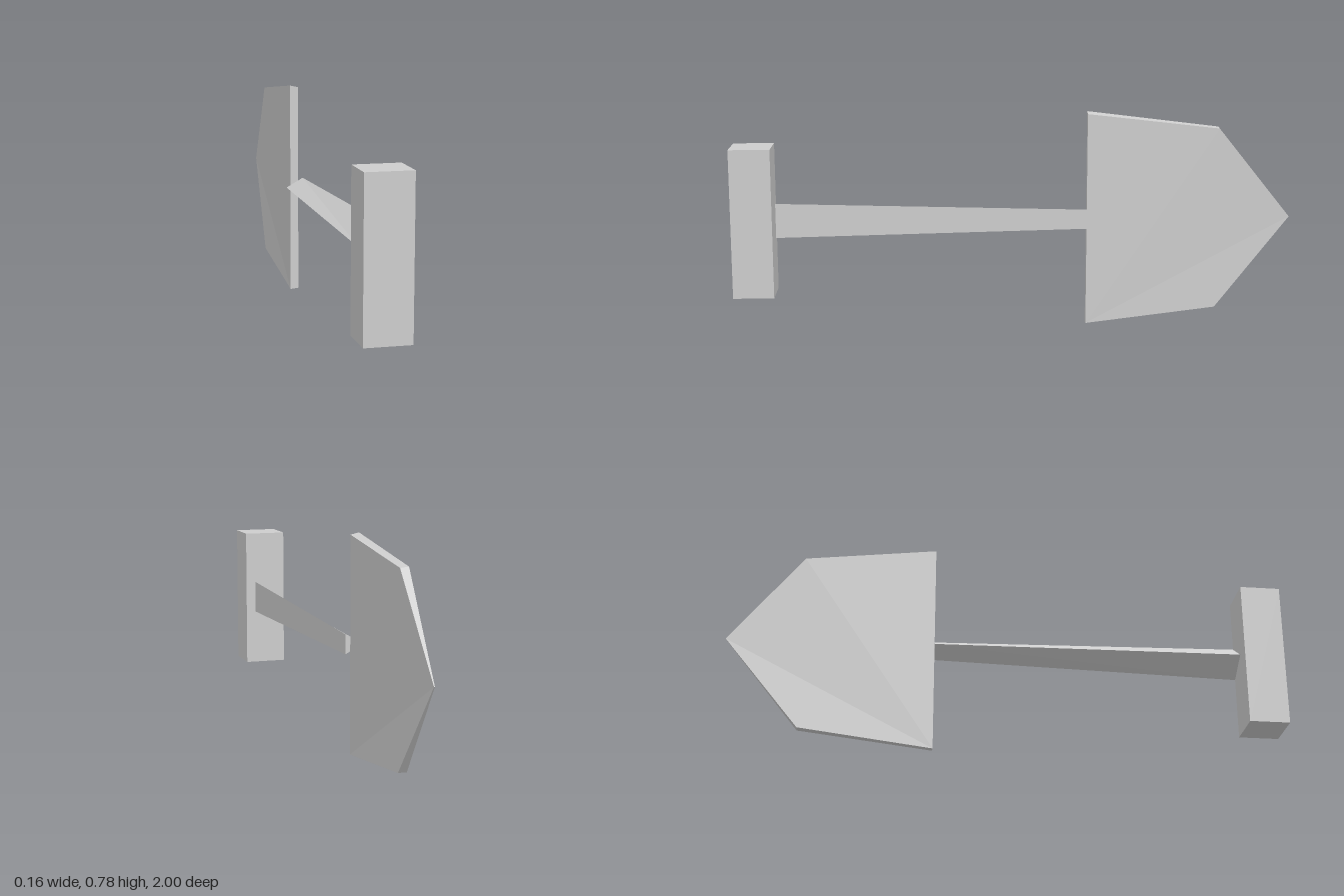
import * as THREE from 'three';

// Closed solid between two matching rings; rings run counterclockwise seen from the end side.
function loft(start, end) {
  const p = [];
  const tri = (a, b, c) => p.push(...a, ...b, ...c);
  const n = start.length;
  for (let i = 0; i < n; i++) {
    const j = (i + 1) % n;
    tri(start[i], start[j], end[j]);
    tri(start[i], end[j], end[i]);
  }
  for (let i = 1; i < n - 1; i++) {
    tri(end[0], end[i], end[i + 1]);
    tri(start[0], start[i + 1], start[i]);
  }
  const g = new THREE.BufferGeometry();
  g.setAttribute('position', new THREE.Float32BufferAttribute(p, 3));
  g.computeVertexNormals();
  return g;
}

export function createModel() {
  const group = new THREE.Group();
  const grey = new THREE.MeshStandardMaterial({ color: 0xcccccc });
  grey.name = 'plain grey';
  const add = (name, geometry) => {
    const mesh = new THREE.Mesh(geometry, grey);
    mesh.name = name;
    group.add(mesh);
    return mesh;
  };

  // Upright grip block at the front
  add('grip', new THREE.BoxGeometry(0.158, 0.533, 0.145)).position.set(-0.001, 0.395, 0.9275);

  // Three-sided shaft, narrowing toward the blade
  add('shaft', loft(
    [[0.028, 0.358, -0.262], [0.028, 0.428, -0.262], [-0.034, 0.393, -0.262]],
    [[0.043, 0.34, 0.845], [0.043, 0.463, 0.845], [-0.05, 0.4, 0.845]]
  ));

  // Thin five-cornered blade, sharpened to a point at the back
  add('blade', loft(
    [[-0.019, 0, -0.262], [-0.019, 0.058, -0.733], [-0.003, 0.39, -1], [-0.019, 0.718, -0.737], [-0.019, 0.777, -0.264]],
    [[0.011, 0.003, -0.262], [0.011, 0.058, -0.733], [0, 0.39, -1], [0.011, 0.715, -0.737], [0.011, 0.77, -0.264]]
  ));

  return group;
}
